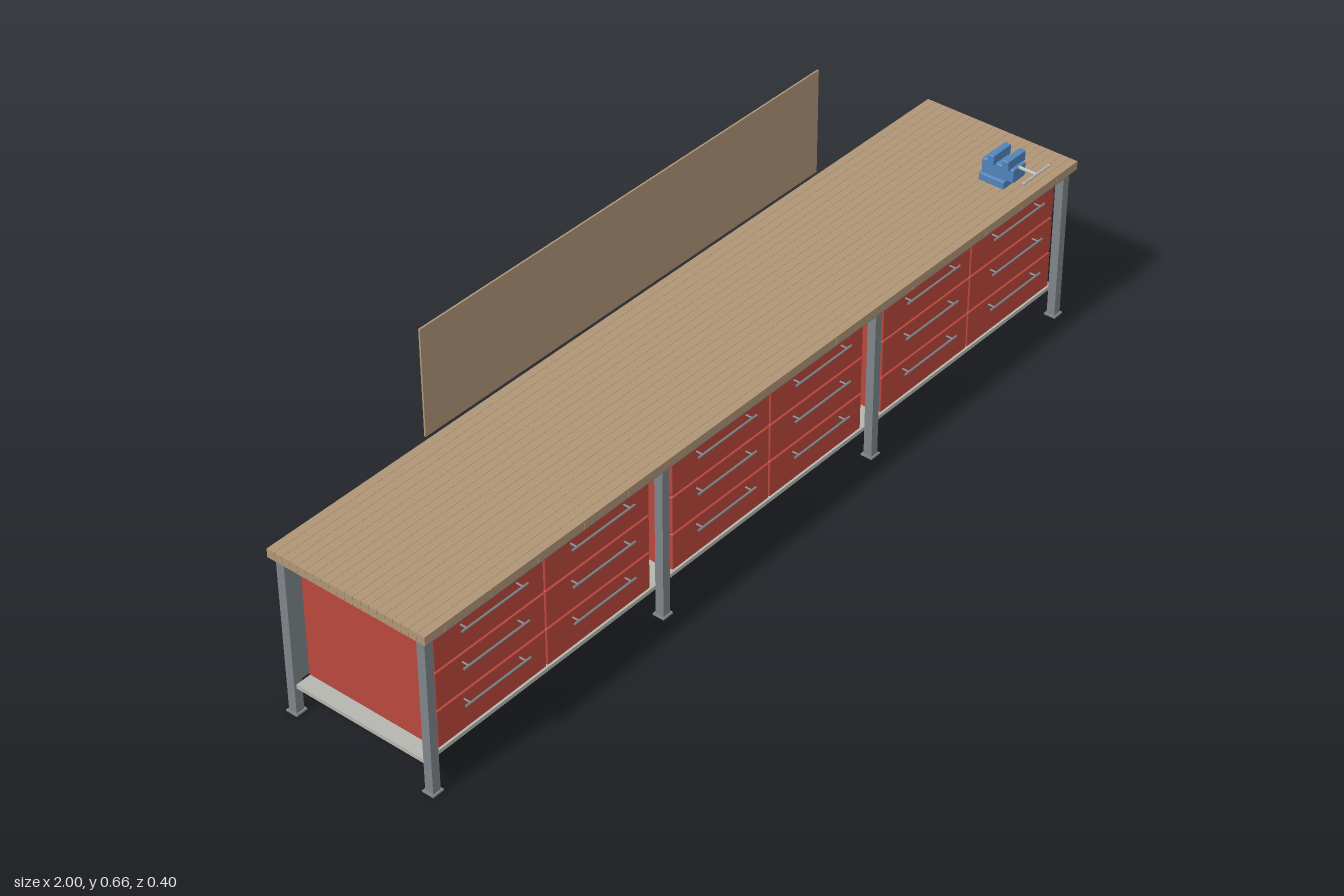
import * as THREE from 'three';
import { mergeGeometries } from 'three/addons/utils/BufferGeometryUtils.js';
import { RoundedBoxGeometry } from 'three/addons/geometries/RoundedBoxGeometry.js';

const material = (name, color) => {
  const m = new THREE.MeshStandardMaterial({ color });
  m.name = name;
  return m;
};

// Box given by its limits on each axis
function boxGeo(x0, x1, y0, y1, z0, z1, radius = 0) {
  const size = [x1 - x0, y1 - y0, z1 - z0];
  const g = radius ? new RoundedBoxGeometry(...size, 2, radius) : new THREE.BoxGeometry(...size);
  return g.translate((x0 + x1) / 2, (y0 + y1) / 2, (z0 + z1) / 2);
}

function rod(radius, length, axis, x, y, z) {
  const g = new THREE.CylinderGeometry(radius, radius, length, 14);
  if (axis === 'x') g.rotateZ(Math.PI / 2);
  if (axis === 'z') g.rotateX(Math.PI / 2);
  return g.translate(x, y, z);
}

export function createModel() {
  const wood = material('wood', 0xb09576);
  const red = material('red enamel', 0xb9473c);
  const steel = material('steel grey', 0x7d8488);
  const light = material('light grey', 0xb6b6af);
  const blue = material('vise blue', 0x5184bd);

  const model = new THREE.Group();
  model.name = 'workbench';
  const add = (name, geo, mat, parent = model) => {
    const mesh = new THREE.Mesh(geo, mat);
    mesh.name = name;
    parent.add(mesh);
    return mesh;
  };

  // Butcher-block top: staggered wooden staves in twenty rows
  const rows = 20, z0 = -0.198, pitch = 0.391 / rows, stave = 0.125, gap = 0.0003;
  const staves = [];
  for (let r = 0; r < rows; r++) {
    const za = z0 + r * pitch;
    const shift = ((r * 2) % 5) * stave / 5;
    for (let x = -1 - shift; x < 0.999; x += stave) {
      const a = Math.max(-1, x), b = Math.min(1, x + stave);
      if (b - a < 0.001) continue;
      staves.push(boxGeo(a + (a > -1 ? gap : 0), b - (b < 1 ? gap : 0), 0.37, 0.39, za + gap, za + pitch - gap));
    }
  }
  add('worktop', mergeGeometries(staves), wood);

  // Legs with foot plates
  for (const x of [-0.98, -0.33, 0.33, 0.98]) {
    for (const z of [0.171, -0.177]) {
      const leg = new THREE.Group();
      leg.name = 'leg';
      add('post', boxGeo(x - 0.01, x + 0.01, 0.003, 0.37, z - 0.01, z + 0.01), steel, leg);
      add('footPlate', boxGeo(x - 0.014, x + 0.014, 0, 0.004, z - 0.014, z + 0.014), steel, leg);
      model.add(leg);
    }
  }

  // Rails under the top, back panels and bottom shelf
  for (const x of [-0.655, 0, 0.655]) {
    const half = x === 0 ? 0.32 : 0.315;
    add('frontRail', boxGeo(x - half, x + half, 0.352, 0.37, 0.163, 0.179), steel);
    add('backRail', boxGeo(x - half, x + half, 0.352, 0.37, -0.184, -0.169), steel);
    add('backPanel', boxGeo(x - half, x + half, 0.065, 0.355, -0.183, -0.178), steel);
  }
  add('shelf', boxGeo(-0.985, 0.985, 0.063, 0.072, -0.167, 0.161), light);

  // Drawer cabinets: three rows of two drawers each
  const drawerH = 0.27 / 3, drawerW = 0.298;
  for (const cx of [-0.66, 0, 0.66]) {
    const cabinet = new THREE.Group();
    cabinet.name = 'cabinet';
    add('body', boxGeo(cx - 0.298, cx + 0.298, 0.083, 0.355, -0.16, 0.16, 0.003), red, cabinet);
    for (const side of [-1, 1]) {
      const x = cx + side * drawerW / 2;
      for (let r = 0; r < 3; r++) {
        const y = 0.084 + r * drawerH;
        add('drawerFront', boxGeo(x - drawerW / 2 + 0.002, x + drawerW / 2 - 0.002,
          y + 0.002, y + drawerH - 0.002, 0.158, 0.168, 0.002), red, cabinet);
        const hy = 0.156 + r * 0.088;
        add('handle', mergeGeometries([
          rod(0.0025, 0.176, 'x', x, hy, 0.184),
          rod(0.002, 0.017, 'z', x - 0.075, hy, 0.175),
          rod(0.002, 0.017, 'z', x + 0.075, hy, 0.175),
        ]), steel, cabinet);
      }
    }
    model.add(cabinet);
  }

  // Upright board behind the bench
  add('backBoard', boxGeo(-0.595, 0.59, 0.414, 0.66, -0.186, -0.182), wood);

  // Bench vise
  const vise = new THREE.Group();
  vise.name = 'vise';
  const vx = 0.842;
  add('base', boxGeo(vx - 0.031, vx + 0.031, 0.39, 0.408, 0.073, 0.137, 0.002), blue, vise);
  add('body', boxGeo(vx - 0.022, vx + 0.022, 0.407, 0.44, 0.073, 0.154, 0.003), blue, vise);
  for (const z of [0.138, 0.101]) {
    add('jaw', boxGeo(vx - 0.031, vx + 0.031, 0.437, 0.461, z - 0.008, z + 0.008, 0.002), blue, vise);
  }
  add('screw', rod(0.004, 0.043, 'z', vx, 0.437, 0.1745), light, vise);
  add('turnBar', rod(0.003, 0.088, 'x', vx, 0.437, 0.196), light, vise);
  for (const s of [-1, 1]) {
    add('barEnd', new THREE.SphereGeometry(0.004, 12, 8).translate(vx + s * 0.044, 0.437, 0.196), light, vise);
  }
  model.add(vise);

  return model;
}
